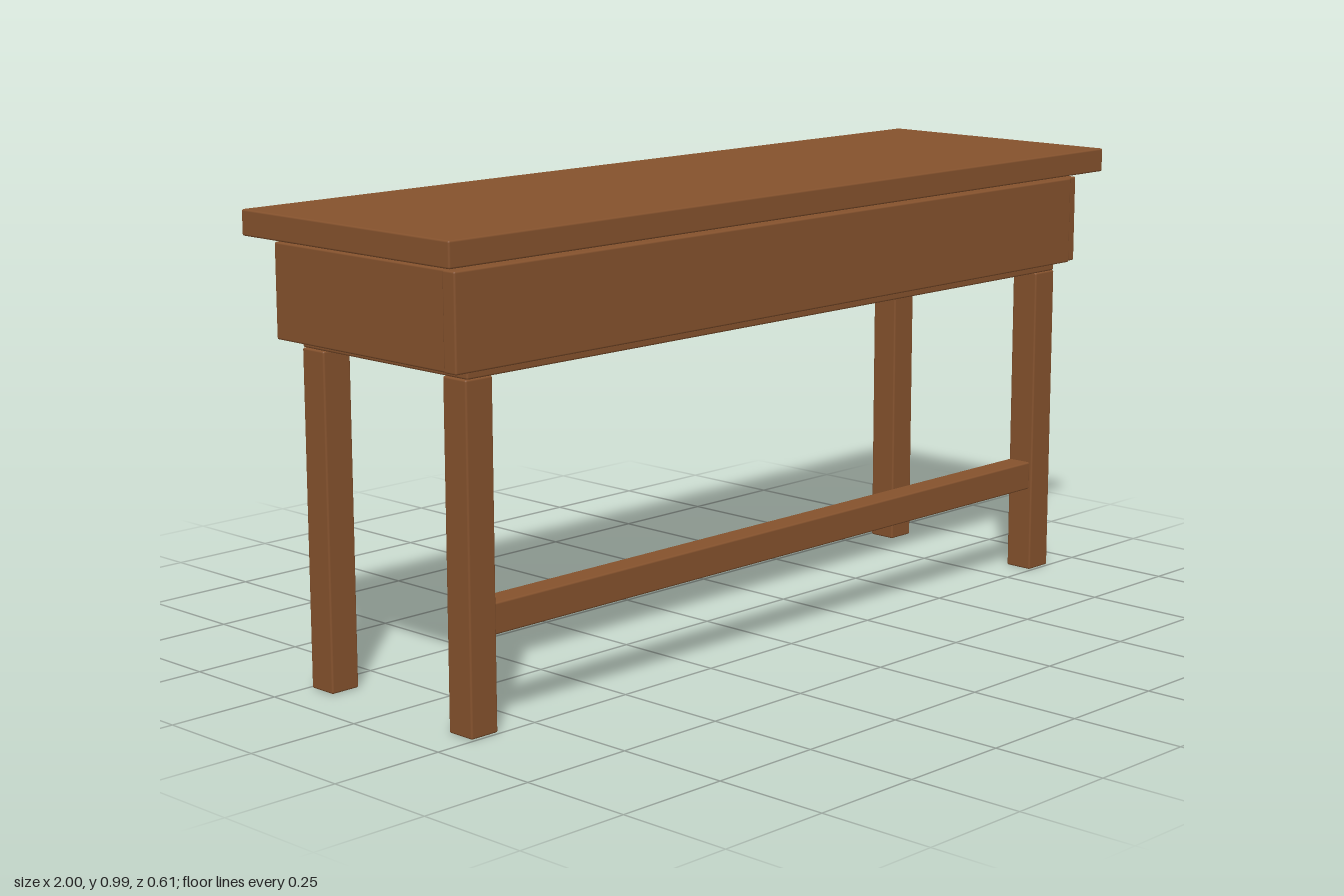
import * as THREE from 'three';
import { RoundedBoxGeometry } from 'three/addons/geometries/RoundedBoxGeometry.js';

const wood = new THREE.MeshStandardMaterial({ name: 'brown wood', color: 0x85522d });

// Board with softly eased edges, given by its extents on each axis
function board(name, [x0, x1], [y0, y1], [z0, z1]) {
  const geometry = new RoundedBoxGeometry(x1 - x0, y1 - y0, z1 - z0, 2, 0.004);
  const mesh = new THREE.Mesh(geometry, wood);
  mesh.name = name;
  mesh.position.set((x0 + x1) / 2, (y0 + y1) / 2, (z0 + z1) / 2);
  return mesh;
}

export function createModel() {
  const desk = new THREE.Group();
  desk.name = 'desk';

  // Worktop, floating just above the compartment
  desk.add(board('worktop', [-1, 1], [0.932, 0.985], [-0.307, 0.307]));

  // Open-backed book compartment
  const wall = [0.725, 0.92];
  desk.add(
    board('shelfFloor', [-0.906, 0.906], [0.705, 0.725], [-0.245, 0.245]),
    board('frontPanel', [-0.96, 0.924], wall, [0.24, 0.275]),
    board('leftPanel', [0.92, 0.956], wall, [-0.263, 0.265]),
    board('rightPanel', [-0.956, -0.92], wall, [-0.263, 0.265]),
    board('divider', [-0.018, 0.018], wall, [-0.243, 0.24])
  );

  // Four square legs
  for (const x of [-0.875, 0.875]) {
    for (const z of [-0.21, 0.211]) {
      const name = (z > 0 ? 'front' : 'back') + (x > 0 ? 'Left' : 'Right') + 'Leg';
      desk.add(board(name, [x - 0.034, x + 0.034], [0, 0.705], [z - 0.033, z + 0.033]));
    }
  }

  // Foot rail between the front legs
  desk.add(board('footRail', [-0.842, 0.842], [0.194, 0.258], [0.18, 0.238]));

  return desk;
}
